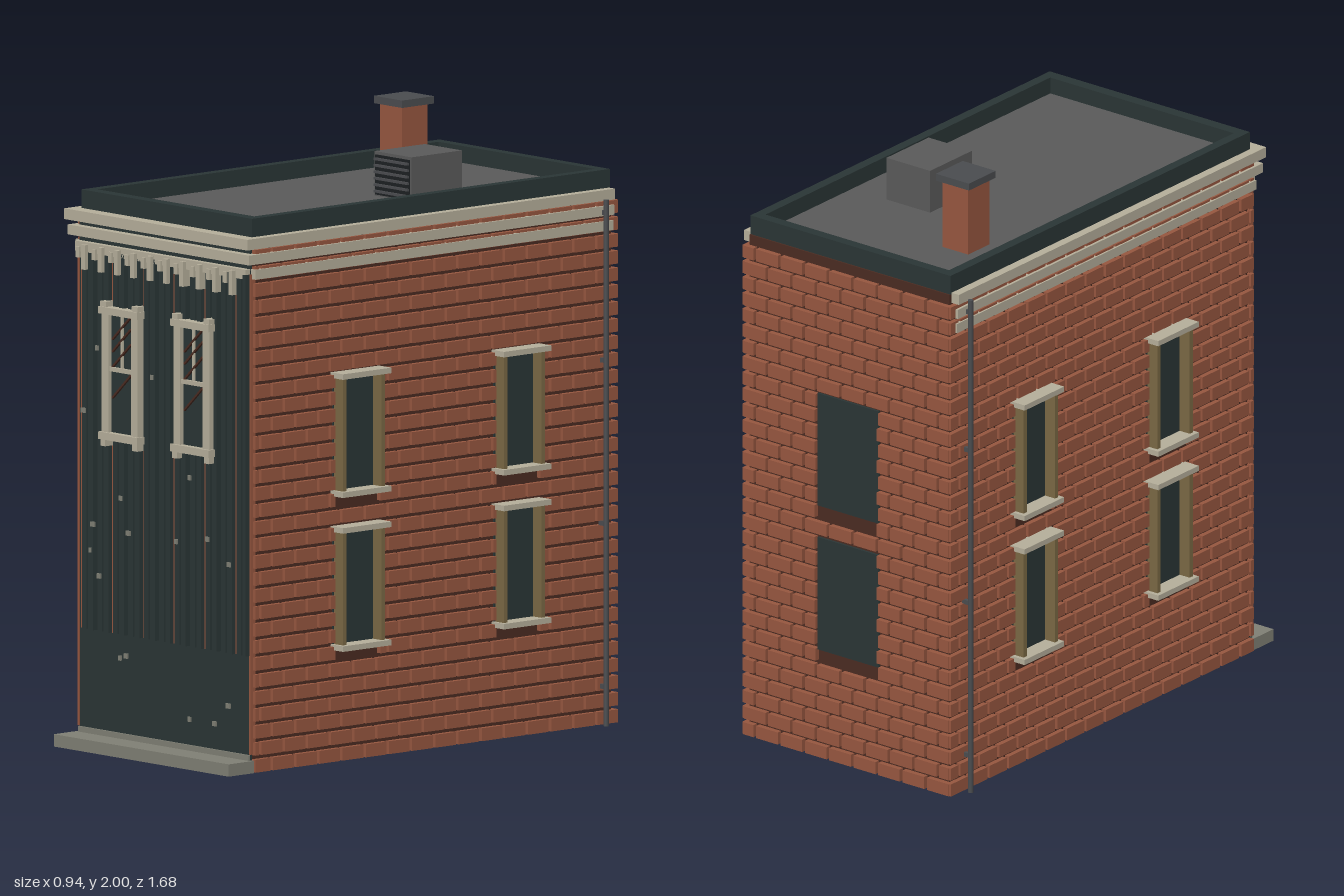
import * as THREE from 'three';
import { mergeGeometries } from 'three/addons/utils/BufferGeometryUtils.js';

const mat = (name, color) => Object.assign(new THREE.MeshStandardMaterial({ color }), { name });

// Box geometry from its limits on each axis (any order)
function span(x0, x1, y0, y1, z0, z1) {
  return new THREE.BoxGeometry(Math.abs(x1 - x0), Math.abs(y1 - y0), Math.abs(z1 - z0))
    .translate((x0 + x1) / 2, (y0 + y1) / 2, (z0 + z1) / 2);
}

export function createModel() {
  const model = new THREE.Group();
  model.name = 'townhouse';
  const brick = mat('brick', 0x96563f);
  const mortar = mat('mortar', 0x4a2b21);
  const dark = mat('darkGreen', 0x2a3535);
  const cream = mat('cream', 0xb5ae9a);
  const roofGrey = mat('roofGrey', 0x5a5a5a);
  const olive = mat('oliveFrame', 0x7a6844);
  const stone = mat('stone', 0x7f7f74);
  const metal = mat('metal', 0x4a4c4f);
  const black = mat('black', 0x1c2022);

  const add = (name, material, parts, parent = model) => {
    const mesh = new THREE.Mesh(mergeGeometries(parts), material);
    mesh.name = name;
    parent.add(mesh);
    return mesh;
  };

  // Core walls and underside
  add('wallCore', mortar, [span(-0.41, 0.41, 0.005, 1.735, -0.82, 0.73)]);
  add('underside', roofGrey, [span(-0.4, 0.4, 0, 0.005, -0.81, 0.73)]);

  // Brick courses: rows of blocks, clipped around the window openings
  const pitch = 0.0552, length = 0.1, gap = 0.011;
  const floors = [[0.37, 0.76], [0.87, 1.26]];
  function courses(u0, u1, openings, place) {
    const parts = [];
    for (let row = 0; row < 31; row++) {
      const y0 = row * pitch + 0.002, y1 = y0 + 0.042;
      const cuts = openings.filter(o => y1 > o[2] && y0 < o[3]);
      for (let u = u0 - (row % 2) * length / 2; u < u1; u += length) {
        let pieces = [[Math.max(u, u0), Math.min(u + length - gap, u1)]];
        for (const [a, b] of cuts)
          pieces = pieces.flatMap(([p, q]) => [[p, Math.min(q, a)], [Math.max(p, b), q]]);
        for (const [p, q] of pieces) if (q - p > 0.008) parts.push(place(p, q, y0, y1));
      }
    }
    return parts;
  }
  const columns = [[0.19, 0.385], [-0.5, -0.31]];
  const sideOpenings = columns.flatMap(c => floors.map(f => [...c, ...f]));

  for (const s of [1, -1]) {
    const side = new THREE.Group();
    side.name = s > 0 ? 'leftSide' : 'rightSide';
    model.add(side);
    add('sideBricks', brick, courses(-0.835, 0.73, sideOpenings,
      (p, q, y0, y1) => span(s * 0.405, s * 0.427, y0, y1, p, q)), side);

    // Side windows: pane, jambs, sill and lintel
    for (const [z0, z1, y0, y1] of sideOpenings) {
      add('sidePane', dark, [span(s * 0.408, s * 0.414, y0, y1, z0, z1)], side);
      add('sideJambs', olive, [
        span(s * 0.41, s * 0.455, y0, y1, z0 + 0.006, z0 + 0.022),
        span(s * 0.41, s * 0.455, y0, y1, z1 - 0.022, z1 - 0.006)], side);
      add('sillAndLintel', cream, [
        span(s * 0.41, s * 0.47, y0 - 0.006, y0 + 0.012, z0 - 0.008, z1 + 0.006),
        span(s * 0.41, s * 0.47, y1 - 0.012, y1 + 0.006, z0 - 0.008, z1 + 0.006)], side);
    }

    // Downpipe with brackets
    const pipe = new THREE.CylinderGeometry(0.009, 0.009, 1.71, 10).translate(s * 0.45, 0.855, -0.762);
    const clips = [0.12, 0.65, 1.18, 1.66].map(y => span(s * 0.42, s * 0.456, y, y + 0.015, -0.768, -0.756));
    add('downpipe', metal, [pipe, ...clips], side);
  }

  // Rear wall with two plain windows
  const rearOpenings = floors.map(f => [-0.125, 0.125, ...f]);
  add('rearBricks', brick, courses(-0.42, 0.42, rearOpenings,
    (p, q, y0, y1) => span(p, q, y0, y1, -0.838, -0.815)));
  for (const [x0, x1, y0, y1] of rearOpenings)
    add('rearPane', dark, [span(x0, x1, y0, y1, -0.828, -0.819)]);

  // Front: base panel, upright boards and brick-coloured strips
  add('frontPanel', dark, [span(-0.41, 0.41, 0.04, 1.72, 0.725, 0.738)]);
  const boards = [], strips = [];
  for (let i = 0; i < 22; i++) {
    const x = -0.39 + i * 0.0371;
    if (i % 4 === 0) strips.push(span(x - 0.005, x + 0.005, 0.38, 1.62, 0.735, 0.745));
    boards.push(span(x + 0.007, Math.min(x + 0.03, 0.41), 0.38, 1.62, 0.735, i % 2 ? 0.758 : 0.752));
  }
  add('frontBoards', dark, boards);
  add('frontStrips', brick, strips);
  add('cornerStrips', brick, [-1, 1].map(s => span(s * 0.408, s * 0.415, 0.06, 1.62, 0.72, 0.742)));

  // Small pale chips scattered on the front
  const chips = [[-0.305, 1.3], [-0.04, 1.235], [-0.37, 1.09], [0.14, 0.93], [-0.19, 0.825],
    [-0.325, 0.725], [-0.335, 0.64], [-0.295, 0.56], [-0.155, 0.715], [0.075, 0.715], [0.225, 0.74],
    [0.33, 0.67], [-0.195, 0.305], [-0.165, 0.315], [0.325, 0.21], [0.14, 0.145], [0.26, 0.145]];
  add('chips', stone, chips.map(([x, y], i) => {
    const w = 0.006 + (i % 3) * 0.002;
    return span(x - w, x + w, y - 0.008, y + 0.008, 0.754, 0.76);
  }));

  // Front windows
  for (const x of [-0.175, 0.17]) {
    const win = new THREE.Group();
    win.name = 'frontWindow';
    win.position.set(x, 0, 0);
    model.add(win);
    add('frontPane', dark, [span(-0.075, 0.075, 1.02, 1.43, 0.735, 0.762)], win);
    const frame = [
      span(-0.093, 0.093, 1.012, 1.036, 0.735, 0.785), // sill
      span(-0.093, 0.093, 1.42, 1.443, 0.735, 0.785), // head
      span(-0.055, 0.055, 1.235, 1.249, 0.735, 0.772), // meeting rail
      span(-0.005, 0.005, 1.249, 1.42, 0.735, 0.768)]; // upper bar
    for (const s of [-1, 1]) frame.push(
      span(s * 0.054, s * 0.086, 1.02, 1.44, 0.735, 0.776),
      span(s * 0.062, s * 0.09, 1.44, 1.46, 0.735, 0.78),
      span(s * 0.065, s * 0.088, 0.99, 1.015, 0.735, 0.78));
    add('frontFrame', cream, frame, win);
    const slash = y => span(-0.06, 0.06, -0.003, 0.003, 0.762, 0.77).rotateZ(0.75).translate(0, y, 0);
    add('diagonalBars', mortar, [1.19, 1.29, 1.34, 1.38].map(slash), win);
  }

  // Cornice bands on front and sides, with dentils below
  add('cornice', cream, [
    span(-0.44, 0.44, 1.705, 1.74, -0.81, 0.777),
    span(-0.436, 0.436, 1.655, 1.687, -0.81, 0.766),
    span(-0.433, 0.433, 1.605, 1.637, -0.81, 0.735),
    span(-0.41, 0.41, 1.605, 1.637, 0.73, 0.758)]);
  const dentils = [];
  for (let i = 0; i < 10; i++) {
    const x = -0.355 + i * 0.0785;
    dentils.push(span(x - 0.009, x + 0.009, 1.55, 1.63, 0.735, 0.772));
    dentils.push(span(x - 0.045, x - 0.028, 1.585, 1.62, 0.735, 0.765));
  }
  add('dentils', cream, dentils);

  // Parapet and roof
  add('roofDeck', roofGrey, [span(-0.385, 0.385, 1.73, 1.745, -0.79, 0.7)]);
  add('parapet', dark, [
    span(-0.41, -0.376, 1.735, 1.8, -0.815, 0.73), span(0.376, 0.41, 1.735, 1.8, -0.815, 0.73),
    span(-0.376, 0.376, 1.735, 1.8, -0.815, -0.78), span(-0.376, 0.376, 1.735, 1.8, 0.69, 0.73)]);

  // Chimney
  add('chimney', brick, [span(-0.26, -0.155, 1.74, 1.98, -0.535, -0.425)]);
  add('chimneyCap', metal, [span(-0.275, -0.14, 1.976, 2, -0.55, -0.412)]);

  // Roof vent unit with louvres
  add('ventUnit', roofGrey, [span(0.055, 0.233, 1.74, 1.89, -0.335, -0.118)]);
  add('ventOpening', black, [span(0.062, 0.226, 1.75, 1.88, -0.118, -0.114)]);
  add('ventLouvres', metal, [0, 1, 2, 3, 4, 5].map(i =>
    span(0.064, 0.224, 1.758 + i * 0.021, 1.766 + i * 0.021, -0.118, -0.106)));

  // Front step
  add('frontStep', stone, [
    span(-0.42, 0.42, 0, 0.04, 0.73, 0.84), span(-0.41, 0.41, 0.04, 0.058, 0.73, 0.745)]);

  return model;
}
